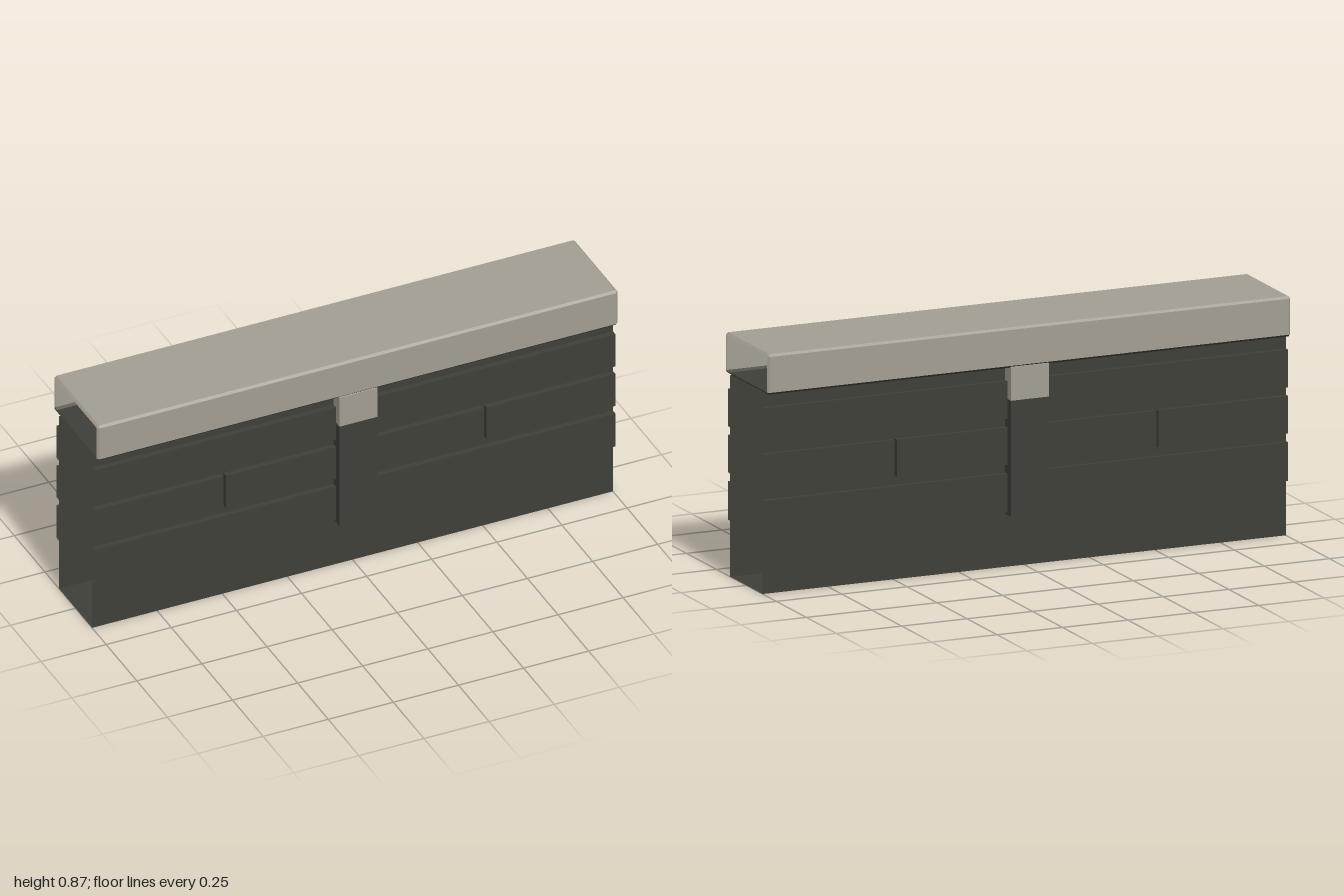
import * as THREE from 'three';

const stone = new THREE.MeshStandardMaterial({ color: 0xa39e92, side: THREE.DoubleSide });
stone.name = 'pale stone';
const brickDark = new THREE.MeshStandardMaterial({ color: 0x3f3f38, side: THREE.DoubleSide });
brickDark.name = 'dark brick';

// Flat-faced skin through cross-sections: each section is { x, points: [[z, y], ...] }
function loft(sections) {
  const out = [];
  const tri = (a, b, c) => {
    if (new THREE.Triangle(a, b, c).getArea() > 1e-9) for (const p of [a, b, c]) out.push(p.x, p.y, p.z);
  };
  const at = (s, i) => new THREE.Vector3(s.x, s.points[i][1], s.points[i][0]);
  for (let k = 0; k + 1 < sections.length; k++) {
    const s = sections[k], t = sections[k + 1];
    for (let i = 0; i + 1 < s.points.length; i++) {
      const a = at(s, i), b = at(t, i), c = at(t, i + 1), d = at(s, i + 1);
      tri(a, b, c);
      tri(a, c, d);
    }
  }
  const g = new THREE.BufferGeometry();
  g.setAttribute('position', new THREE.Float32BufferAttribute(out, 3));
  g.computeVertexNormals();
  return g;
}

const sweep = (points, x0, x1) => loft([{ x: x0, points }, { x: x1, points }]);

function part(parent, name, geometry, material) {
  const mesh = new THREE.Mesh(geometry, material);
  mesh.name = name;
  parent.add(mesh);
  return mesh;
}

const WALL = 0.135, BRICK = 0.155, TOP = 0.722;

// Brick courses of one face; the middle course is split by two narrow joints
function brickFace(name) {
  const face = new THREE.Group();
  face.name = name;
  const courses = [
    [0.2, 0.338, [[-1, 1]]],
    [0.37, 0.504, [[-1, -0.505], [-0.495, 0.495], [0.505, 1]]],
    [0.535, 0.67, [[-1, 1]]],
  ];
  for (const [y0, y1, spans] of courses) {
    const profile = [[WALL, y0], [BRICK, y0], [BRICK, y1], [WALL, y1]];
    for (const [x0, x1] of spans) {
      part(face, 'brick', sweep(profile, x0, x1), brickDark);
      // End faces only at the joints; the outer ends stay open
      for (const x of [x0, x1]) {
        if (Math.abs(x) === 1) continue;
        const end = part(face, 'brickEnd', new THREE.PlaneGeometry(BRICK - WALL, y1 - y0), brickDark);
        end.position.set(x, (y0 + y1) / 2, (WALL + BRICK) / 2);
        end.rotation.y = (x === x1 ? 1 : -1) * Math.PI / 2;
      }
    }
  }
  return face;
}

export function createModel() {
  const model = new THREE.Group();
  model.name = 'brickWall';

  // Hollow wall core, open at both ends
  part(model, 'wallCore', sweep([[-WALL, TOP], [-WALL, 0], [WALL, 0], [WALL, TOP]], -1, 1), brickDark);

  const back = brickFace('backBricks');
  back.rotation.y = Math.PI;
  model.add(brickFace('frontBricks'), back);

  // Pier through the middle, with a pale head
  const pier = (name, y0, y1, material) => {
    part(model, name, new THREE.BoxGeometry(0.146, y1 - y0, 0.366), material).position.y = (y0 + y1) / 2;
  };
  pier('pierShaft', 0.19, 0.606, brickDark);
  pier('pierHead', 0.606, 0.726, stone);

  // Bevelled coping, open at both ends, with a dark underside
  const o = 0.18, i = 0.172, lo = 0.73, hi = 0.859, top = 0.867;
  const coping = (name, points, material) => {
    const inset = points.map(([z, y]) => [THREE.MathUtils.clamp(z, -i, i), THREE.MathUtils.clamp(y, lo, hi)]);
    part(model, name, loft([
      { x: -1, points: inset }, { x: -0.992, points },
      { x: 0.992, points }, { x: 1, points: inset },
    ]), material);
  };
  coping('copingTop', [[o, lo], [o, hi], [i, top], [-i, top], [-o, hi], [-o, lo]], stone);
  coping('copingUnderside', [[-o, lo], [-i, TOP], [i, TOP], [o, lo]], brickDark);

  return model;
}
